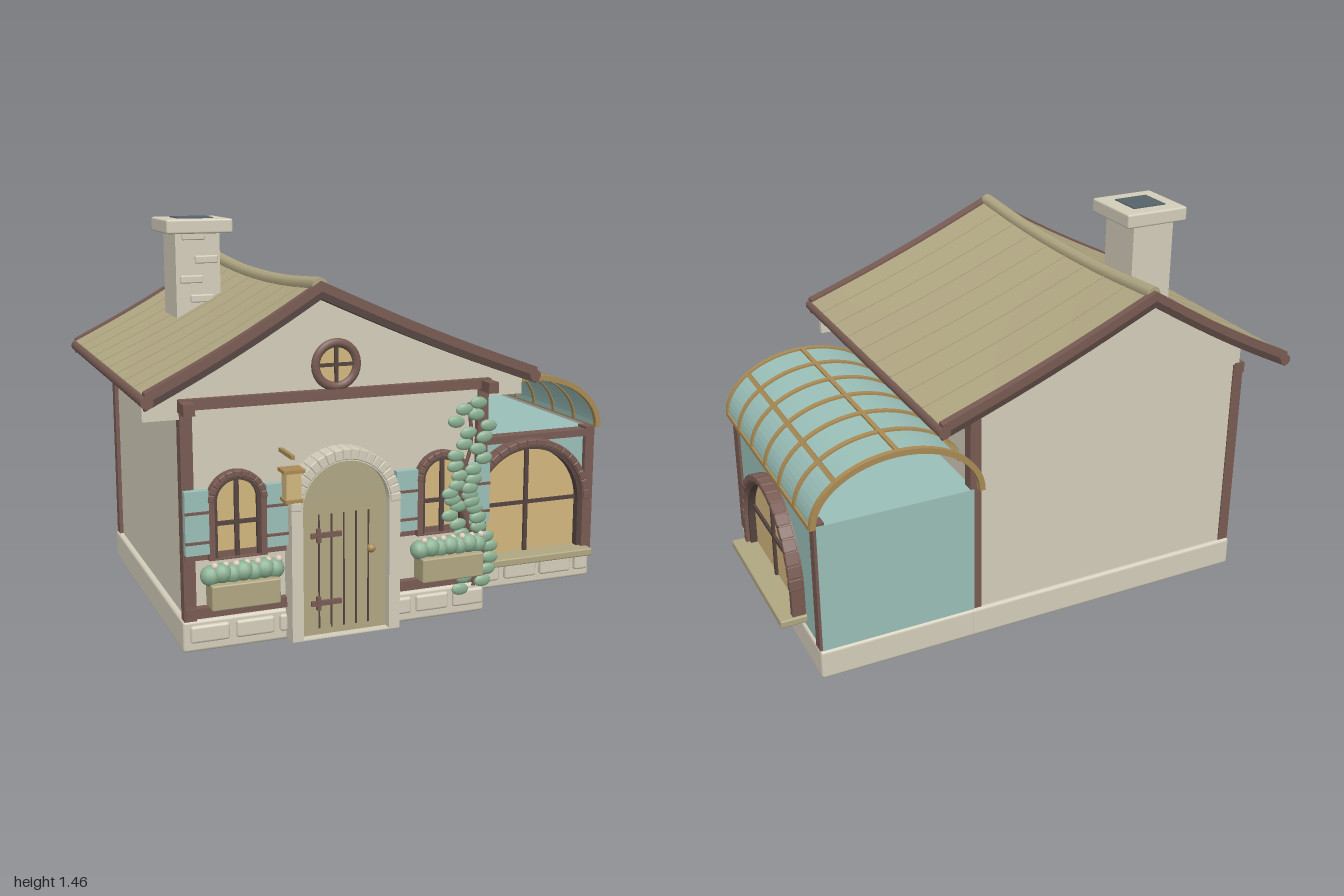
import * as THREE from 'three';
import { RoundedBoxGeometry } from 'three/addons/geometries/RoundedBoxGeometry.js';

const mat = (name, color) => Object.assign(new THREE.MeshStandardMaterial({ color }), { name });

export function createModel() {
  const root = new THREE.Group();
  root.name = 'cottage';
  const M = {
    plaster: mat('cream plaster and stone', 0xd3cdba), roof: mat('olive wood', 0xb0a682),
    beam: mat('brown timber', 0x785b53), dark: mat('dark timber', 0x55443f),
    teal: mat('teal paint', 0x9abfb8), glass: mat('warm glass', 0xd2b67e),
    brass: mat('ochre brass', 0xa98b55), leaf: mat('leaf green', 0x8bb092),
    slate: mat('slate', 0x55646a), bloom: mat('pale blossom', 0xe0cbbd),
  };
  const add = (name, geo, m, parent = root, x = 0, y = 0, z = 0) => {
    const mesh = new THREE.Mesh(geo, m);
    mesh.name = name;
    mesh.position.set(x, y, z);
    parent.add(mesh);
    return mesh;
  };
  // Box given by its limits
  const box = (name, m, x0, x1, y0, y1, z0, z1, parent = root, round = 0) => {
    const s = [x1 - x0, y1 - y0, z1 - z0];
    const geo = round ? new RoundedBoxGeometry(...s, 2, round) : new THREE.BoxGeometry(...s);
    return add(name, geo, m, parent, (x0 + x1) / 2, (y0 + y1) / 2, (z0 + z1) / 2);
  };
  const group = (name, x = 0, y = 0, z = 0, ry = 0) => {
    const g = new THREE.Group();
    g.name = name;
    g.position.set(x, y, z);
    g.rotation.y = ry;
    root.add(g);
    return g;
  };
  const extrude = (shape, depth, curveSegments = 20) =>
    new THREE.ExtrudeGeometry(shape, { depth, bevelEnabled: false, curveSegments });

  // Sagging roof surface
  const RX = -0.37, X0 = -0.98, X1 = 0.46;
  const roofY = (x, z) => {
    const t = Math.abs(x - RX) / (x < RX ? RX - X0 : X1 - RX);
    const ridge = 1.22 + 0.028 * ((z + 0.02) / 0.65) ** 2;
    return ridge + (0.91 - ridge) * t - 0.012 * Math.sin(Math.PI * Math.min(t, 1));
  };
  const slab = (name, m, x0, x1, z0, z1, thick, lift) => {
    const geo = new THREE.BoxGeometry(x1 - x0, thick, z1 - z0, 10, 1, z1 - z0 > 0.2 ? 14 : 1);
    geo.translate((x0 + x1) / 2, lift, (z0 + z1) / 2);
    const p = geo.attributes.position;
    for (let i = 0; i < p.count; i++) p.setY(i, p.getY(i) + roofY(p.getX(i), p.getZ(i)));
    geo.computeVertexNormals();
    return add(name, geo, m);
  };
  // Wall whose top follows the roof, centred between z and z + depth
  const gable = (name, x0, x1, y0, z, depth, zRoof) => {
    const top = [x1, RX, x0].map(x => [x, roofY(x, zRoof) - 0.008]);
    const pts = [[x0, y0], [x1, y0], ...top].map(p => new THREE.Vector2(...p));
    add(name, extrude(new THREE.Shape(pts), depth), M.plaster, root, 0, 0, z);
  };

  // Foundations and walls
  box('houseBase', M.plaster, -0.85, 0.315, 0, 0.115, -0.62, 0.557, root, 0.012);
  box('annexBase', M.plaster, 0.3, 0.905, 0, 0.115, -0.62, 0.347, root, 0.012);
  gable('houseWalls', -0.83, 0.3, 0.1, -0.58, 1.12, -0.02);
  gable('backWall', -0.83, 0.3, 0.1, -0.605, 0.025, -0.6);
  gable('frontGable', -0.97, 0.455, 0.83, 0.53, 0.025, 0.54);
  box('annexWalls', M.teal, 0.3, 0.895, 0.1, 0.62, -0.612, 0.335);

  // Foundation stones
  const stones = [[-0.825, 0.14], [-0.66, 0.14], [-0.5, 0.03], [-0.05, 0.06], [0.03, 0.13], [0.18, 0.125]];
  for (const [x, w] of stones) box('baseStone', M.plaster, x, x + w, 0.035, 0.098, 0.54, 0.57, root, 0.01);
  for (const [x, w] of [[0.345, 0.14], [0.51, 0.14], [0.67, 0.14], [0.83, 0.06]])
    box('baseStone', M.plaster, x, x + w, 0.035, 0.098, 0.33, 0.365, root, 0.01);

  // Timber frame
  for (const x of [-0.845, 0.272]) for (const z of [-0.61, 0.515])
    box('cornerPost', M.beam, x, x + 0.043, 0.115, 0.89, z, z + 0.047);
  for (const x of [-0.85, 0.275]) box('purlin', M.beam, x, x + 0.04, 0.855, 0.895, -0.612, 0.64);
  box('gableBeam', M.beam, -0.85, 0.315, 0.863, 0.9, 0.53, 0.58);
  for (const [y, h] of [[0.125, 0.037], [0.335, 0.025]]) {
    box('wallRail', M.beam, -0.84, -0.46, y, y + h, 0.54, 0.57);
    box('wallRail', M.beam, -0.08, 0.31, y, y + h, 0.54, 0.57);
  }
  for (const [x0, x1, z0, z1] of [[0.315, 0.345, 0.3, 0.352], [0.865, 0.905, 0.297, 0.355], [0.865, 0.905, -0.61, -0.567]])
    box('annexPost', M.beam, x0, x1, 0.115, 0.63, z0, z1);
  box('annexBeam', M.beam, 0.315, 0.905, 0.592, 0.62, 0.3, 0.356);

  // Main roof with raised seams, bargeboards, ridge and eaves
  for (const [a, b] of [[X0, RX], [RX, X1]]) {
    slab('roofPanel', M.roof, a, b, -0.675, 0.63, 0.035, 0.01);
    for (let i = 0; i < 8; i++) {
      const z = -0.527 + i * 0.145;
      slab('roofSeam', M.roof, a, b, z - 0.003, z + 0.003, 0.006, 0.028);
    }
    for (const [z0, z1] of [[-0.697, -0.667], [0.62, 0.66]]) {
      slab('bargeboard', M.beam, a, b, z0, z1, 0.035, 0.018);
      slab('bargeboardLower', M.dark, a, b, z0 + 0.006, z1 - 0.006, 0.03, -0.01);
    }
  }
  const ridgeLine = new THREE.CatmullRomCurve3([-0.67, -0.35, -0.02, 0.31, 0.635].map(
    z => new THREE.Vector3(RX, roofY(RX, z) + 0.022, z)));
  add('ridgeCap', new THREE.TubeGeometry(ridgeLine, 20, 0.028, 8), M.roof);
  for (const z of [-0.67, 0.635]) {
    const end = add('ridgeEnd', new THREE.CylinderGeometry(0.028, 0.028, 0.01, 8), M.roof, root, RX, roofY(RX, z) + 0.022, z);
    end.rotation.x = Math.PI / 2;
  }
  for (const x of [X0 + 0.007, X1 - 0.007]) {
    const eave = add('eaveRail', new THREE.CylinderGeometry(0.022, 0.022, 1.36, 10), M.beam, root, x, 0.914, -0.02);
    eave.rotation.x = Math.PI / 2;
  }

  // Chimney
  box('chimneyShaft', M.plaster, -0.675, -0.5, 0.95, 1.42, -0.33, -0.135);
  box('chimneyCap', M.plaster, -0.715, -0.455, 1.405, 1.46, -0.36, -0.1, root, 0.008);
  box('chimneyFlue', M.slate, -0.655, -0.515, 1.455, 1.464, -0.3, -0.165);
  for (const [x, y] of [[-0.65, 1.38], [-0.6, 1.29], [-0.66, 1.215], [-0.62, 1.14]])
    box('chimneyBrick', M.plaster, x, x + 0.09, y, y + 0.03, -0.14, -0.124, root, 0.005);

  // Glazed barrel roof over the annex
  const arc = (a, b, t, depth) => {
    const s = new THREE.Shape();
    s.absellipse(0, 0, a, b, 0, Math.PI, false);
    s.lineTo(-(a - t), 0);
    s.absellipse(0, 0, a - t, b - t, Math.PI, 0, true);
    return extrude(s, depth, 16);
  };
  add('barrelGlass', arc(0.32, 0.22, 0.01, 0.99), M.teal, root, 0.6, 0.63, -0.635);
  for (let i = 0; i < 7; i++)
    add('barrelRib', arc(0.327, 0.227, 0.021, 0.021), M.brass, root, 0.6, 0.63, -0.646 + i * 0.165);
  for (let i = 0; i < 5; i++) {
    const a = i * Math.PI / 4;
    const bar = add('barrelBar', new THREE.BoxGeometry(0.017, 0.017, 0.99), M.brass, root,
      0.6 + 0.319 * Math.cos(a), 0.632 + 0.217 * Math.sin(a), -0.14);
    bar.rotation.z = a;
  }

  // Arched openings: shape, frame with blocks, panel
  const arch = (r, spring, bottom) => {
    const s = new THREE.Shape();
    s.moveTo(r, bottom).lineTo(r, spring).absarc(0, spring, r, 0, Math.PI, false);
    return s.lineTo(-r, bottom).closePath();
  };
  const archFrame = (g, m, r, w, spring, bottom, depth, blocks) => {
    const s = arch(r, spring, bottom);
    s.holes.push(arch(r - w, spring, bottom + 0.004));
    add('archFrame', extrude(s, depth), m, g);
    for (let i = 0; i < blocks; i++) {
      const a = (i + 0.5) * Math.PI / blocks, c = r - w * 0.42;
      const b = add('archBlock', new RoundedBoxGeometry(w * 0.95, Math.PI * c / blocks * 0.95, depth, 1, 0.004), m, g,
        c * Math.cos(a), spring + c * Math.sin(a), depth / 2 + 0.005);
      b.rotation.z = a;
    }
  };
  const archWindow = (name, x, z, ry, r, w, spring, bottom, cross, depth, blocks) => {
    const g = group(name, x, 0, z, ry);
    archFrame(g, M.beam, r, w * 0.65, spring, bottom, depth, blocks);
    archFrame(g, M.dark, r - w * 0.6, w * 0.4, spring, bottom, depth * 0.7, 0);
    add('pane', extrude(arch(r - w + 0.002, spring, bottom), 0.009), M.glass, g);
    box('mullion', M.dark, -0.008, 0.008, bottom, spring + r - w, 0, 0.02, g);
    box('crossbar', M.dark, -(r - w), r - w, cross - 0.007, cross + 0.007, 0, 0.02, g);
    return g;
  };
  archWindow('annexFrontWindow', 0.6, 0.336, 0, 0.265, 0.04, 0.34, 0.135, 0.345, 0.055, 19);
  archWindow('annexSideWindow', 0.896, -0.14, Math.PI / 2, 0.3, 0.04, 0.27, 0.15, 0.335, 0.05, 19);
  box('frontSill', M.roof, 0.335, 0.865, 0.115, 0.145, 0.335, 0.435, root, 0.006);
  box('sideSill', M.roof, 0.89, 0.995, 0.135, 0.165, -0.45, 0.175, root, 0.006);

  // Small front windows with shutters and planters
  for (const x of [-0.655, 0.125]) {
    const g = archWindow('frontWindow', x, 0.555, 0, 0.105, 0.034, 0.54, 0.335, 0.46, 0.035, 11);
    for (const s of [-1, 1]) {
      const c = s * 0.145;
      box('shutter', M.teal, c - 0.042, c + 0.042, 0.36, 0.585, 0.005, 0.035, g);
      for (const y of [0.4, 0.505]) box('shutterBand', M.beam, c - 0.042, c + 0.042, y, y + 0.009, 0.03, 0.042, g);
    }
    box('planterBox', M.roof, -0.122, 0.122, 0.185, 0.275, 0.04, 0.125, g, 0.006);
    for (let i = 0; i < 7; i++) {
      const px = -0.114 + i * 0.038, up = (i % 2) * 0.008;
      add('planterTuft', new THREE.SphereGeometry(0.036, 12, 8), M.leaf, g, px, 0.298 + up, 0.076 + up);
      add('blossom', new THREE.SphereGeometry(0.013, 8, 6), M.bloom, g, px + 0.014, 0.332, 0.085);
    }
  }

  // Round gable window
  const round = group('gableWindow', -0.285, 0.985, 0.555);
  add('roundFrame', new THREE.TorusGeometry(0.077, 0.016, 8, 28), M.beam, round, 0, 0, 0.01);
  add('roundPane', new THREE.CircleGeometry(0.073, 28), M.glass, round, 0, 0, 0.006);
  box('mullion', M.dark, -0.006, 0.006, -0.07, 0.07, 0, 0.016, round);
  box('crossbar', M.dark, -0.07, 0.07, -0.006, 0.006, 0, 0.016, round);

  // Door
  const door = group('door', -0.27, 0, 0.55);
  archFrame(door, M.plaster, 0.205, 0.042, 0.49, 0.012, 0.078, 19);
  add('doorPanel', extrude(arch(0.165, 0.49, 0.015), 0.045), M.roof, door);
  for (let i = -2; i <= 2; i++) box('plankGap', M.dark, i * 0.047 - 0.003, i * 0.047 + 0.003, 0.04, 0.46, 0.044, 0.048, door);
  for (const y of [0.135, 0.385]) {
    box('hinge', M.beam, -0.125, -0.01, y - 0.009, y + 0.009, 0.044, 0.056, door);
    box('hingePlate', M.beam, -0.105, -0.09, y - 0.025, y + 0.025, 0.044, 0.06, door);
  }
  add('doorKnob', new THREE.SphereGeometry(0.016, 12, 10), M.brass, door, 0.1, 0.32, 0.06);

  // Hanging lantern
  const lamp = group('lantern', -0.485, 0, 0.66);
  box('lanternBody', M.glass, -0.027, 0.027, 0.55, 0.645, -0.025, 0.025, lamp);
  box('lanternCap', M.brass, -0.038, 0.038, 0.642, 0.654, -0.035, 0.035, lamp);
  box('lanternFoot', M.brass, -0.032, 0.032, 0.538, 0.55, -0.032, 0.032, lamp);
  box('lanternArm', M.brass, -0.007, 0.007, 0.688, 0.702, -0.115, 0.02, lamp);

  // Climbing vine
  let seed = 7;
  const rnd = () => (seed = (seed * 16807) % 2147483647) / 2147483647;
  const vine = group('vine');
  const vinePath = new THREE.CatmullRomCurve3([[0.25, 0.12], [0.25, 0.28], [0.2, 0.42], [0.19, 0.52], [0.23, 0.66], [0.22, 0.82]]
    .map(([x, y]) => new THREE.Vector3(x, y, 0.592)));
  add('vineStem', new THREE.TubeGeometry(vinePath, 24, 0.007, 6), M.beam, vine);
  for (let i = 0; i < 38; i++) {
    const p = vinePath.getPoint(i / 37);
    const leaf = add('vineLeaf', new THREE.SphereGeometry(0.03, 12, 8), M.leaf, vine,
      p.x + (i % 2 ? 0.042 : -0.04) + (rnd() - 0.5) * 0.05, p.y, 0.604 + rnd() * 0.008);
    leaf.scale.set(1.15, 0.75, 0.38);
    leaf.rotation.z = (rnd() - 0.5) * 0.3;
  }
  return root;
}
